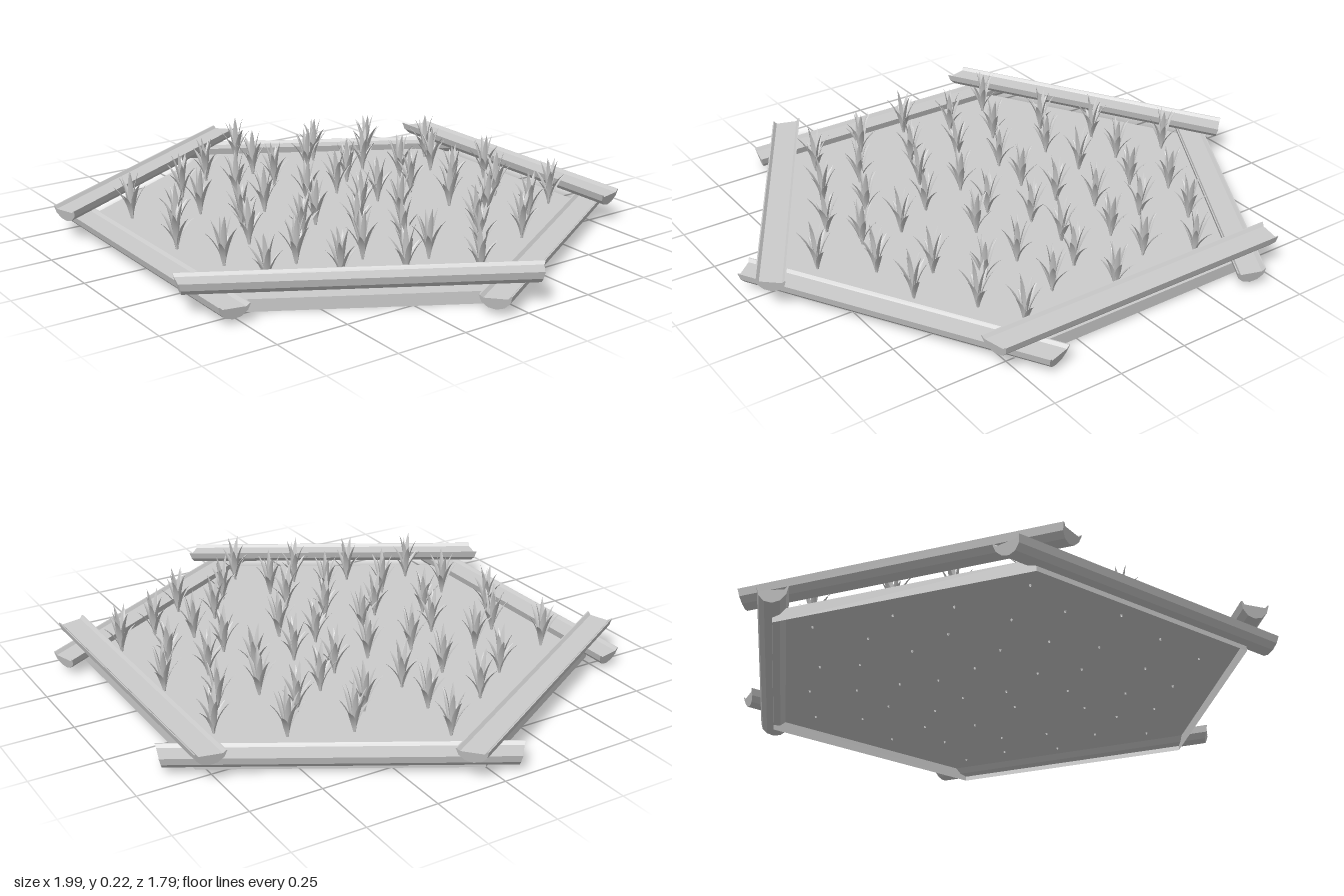
import * as THREE from 'three';
import { mergeGeometries } from 'three/addons/utils/BufferGeometryUtils.js';

const APOTHEM = 0.78;
const SOIL_TOP = 0.042;

// Split log with a shallow trough on top; length runs along x, outer side is +z.
function logGeometry() {
  const shape = new THREE.Shape();
  shape.moveTo(-0.05, 0);
  for (let i = 1; i <= 6; i++) {
    const a = Math.PI + (i / 6) * Math.PI;
    shape.lineTo(0.05 * Math.cos(a), 0.05 * Math.sin(a));
  }
  shape.lineTo(0.046, 0);
  shape.lineTo(0.037, -0.01);
  shape.lineTo(-0.037, -0.01);
  shape.lineTo(-0.046, 0);
  const geo = new THREE.ExtrudeGeometry(shape, { depth: 1, bevelEnabled: false });
  geo.translate(0, 0, -0.5).rotateY(Math.PI / 2);
  // Mitred ends: shorter on the outer side and at the bottom
  const p = geo.attributes.position;
  for (let i = 0; i < p.count; i++) {
    const half = 0.567 - 0.22 * p.getZ(i) + 0.25 * p.getY(i);
    p.setX(i, Math.sign(p.getX(i)) * half);
  }
  geo.computeVertexNormals();
  return geo;
}

// Leaf that rises from the root and arches outwards to a pointed tip.
function bladeGeometry(angle, spread, height, width) {
  const geo = new THREE.PlaneGeometry(1, 1, 2, 6);
  const p = geo.attributes.position;
  for (let i = 0; i < p.count; i++) {
    const t = p.getY(i) + 0.5;
    const side = p.getX(i) * 2;
    const w = width * (0.25 * (1 - t) + Math.sin(Math.PI * t));
    const fold = 0.3 * Math.abs(side) * w;
    const y = height * (t - 0.12 * t * t * t) + fold * t;
    p.setXYZ(i, side * w, y, 0.003 + spread * Math.pow(t, 1.6) - fold);
  }
  geo.rotateY(angle);
  geo.computeVertexNormals();
  return geo;
}

function plantGeometry() {
  const blades = [];
  // Outer arching leaves
  for (let i = 0; i < 6; i++) {
    const spread = 0.052 + 0.008 * (i % 2);
    blades.push(bladeGeometry(i * 1.05 + 0.3, spread, 0.12 + 0.025 * ((i * 2) % 3), 0.009));
  }
  // Upright middle leaves
  for (let i = 0; i < 4; i++) {
    blades.push(bladeGeometry(i * 1.6 + 0.8, 0.02 + 0.006 * i, 0.21 - 0.008 * i, 0.009));
  }
  return mergeGeometries(blades);
}

// Plant positions (x, z) in hundredths
const PLANTS = [
  [-34, -67], [1, -68], [37, -68], [-19, -58], [19, -58], [44, -52], [-48, -48], [4, -50],
  [-35, -37], [-18, -42], [-2, -35], [18, -37], [34, -41], [58, -36], [-56, -28], [-26, -23],
  [45, -27], [-46, -18], [-17, -12], [-1, -19], [19, -14], [60, -16], [-74, -3], [-55, 1],
  [-38, 2], [-13, 4], [8, -5], [40, 1], [55, 2], [75, -3], [25, 9], [7, 14], [-58, 20],
  [-36, 20], [-15, 21], [17, 26], [43, 20], [61, 16], [-46, 37], [-26, 41], [-6, 36],
  [10, 43], [34, 40], [52, 35], [-36, 63], [-16, 56], [0, 65], [22, 60], [43, 57],
];

export function createModel() {
  const model = new THREE.Group();
  model.name = 'plantedField';
  const flat = new THREE.MeshStandardMaterial({ color: 0xcccccc, flatShading: true });
  const sheet = new THREE.MeshStandardMaterial({ color: 0xcccccc, flatShading: true, side: THREE.DoubleSide });
  const leaf = new THREE.MeshStandardMaterial({ color: 0xcccccc, side: THREE.DoubleSide });

  // Hexagonal soil sheet with a skirt, open underneath, points on the x axis
  const soil = new THREE.Group();
  soil.name = 'soil';
  const top = new THREE.Mesh(new THREE.CircleGeometry(0.9, 6).rotateX(-Math.PI / 2), sheet);
  top.name = 'soilTop';
  top.position.y = SOIL_TOP;
  const skirtGeo = new THREE.CylinderGeometry(0.9, 0.9, SOIL_TOP, 6, 1, true).rotateY(Math.PI / 2);
  const skirt = new THREE.Mesh(skirtGeo, sheet);
  skirt.name = 'soilSkirt';
  skirt.position.y = SOIL_TOP / 2;
  soil.add(top, skirt);
  model.add(soil);

  // Border logs, alternately low and resting on their neighbours
  const border = new THREE.Group();
  border.name = 'border';
  const logGeo = logGeometry();
  for (let k = 0; k < 6; k++) {
    const a = (k * Math.PI) / 3;
    const log = new THREE.Mesh(logGeo, flat);
    log.name = k % 2 ? 'upperLog' : 'lowerLog';
    log.position.set(APOTHEM * Math.sin(a), k % 2 ? 0.118 : 0.067, APOTHEM * Math.cos(a));
    log.rotation.y = a;
    border.add(log);
  }
  model.add(border);

  // Young plants, roots just piercing the soil sheet
  const crop = new THREE.Group();
  crop.name = 'crop';
  const plantGeo = plantGeometry();
  PLANTS.forEach(([x, z], i) => {
    const plant = new THREE.Mesh(plantGeo, leaf);
    plant.name = 'plant';
    plant.position.set(x / 100, SOIL_TOP - 0.006, z / 100 + 0.01);
    plant.rotation.y = 0.5 * Math.sin(i * 2.3);
    crop.add(plant);
  });
  model.add(crop);
  return model;
}
